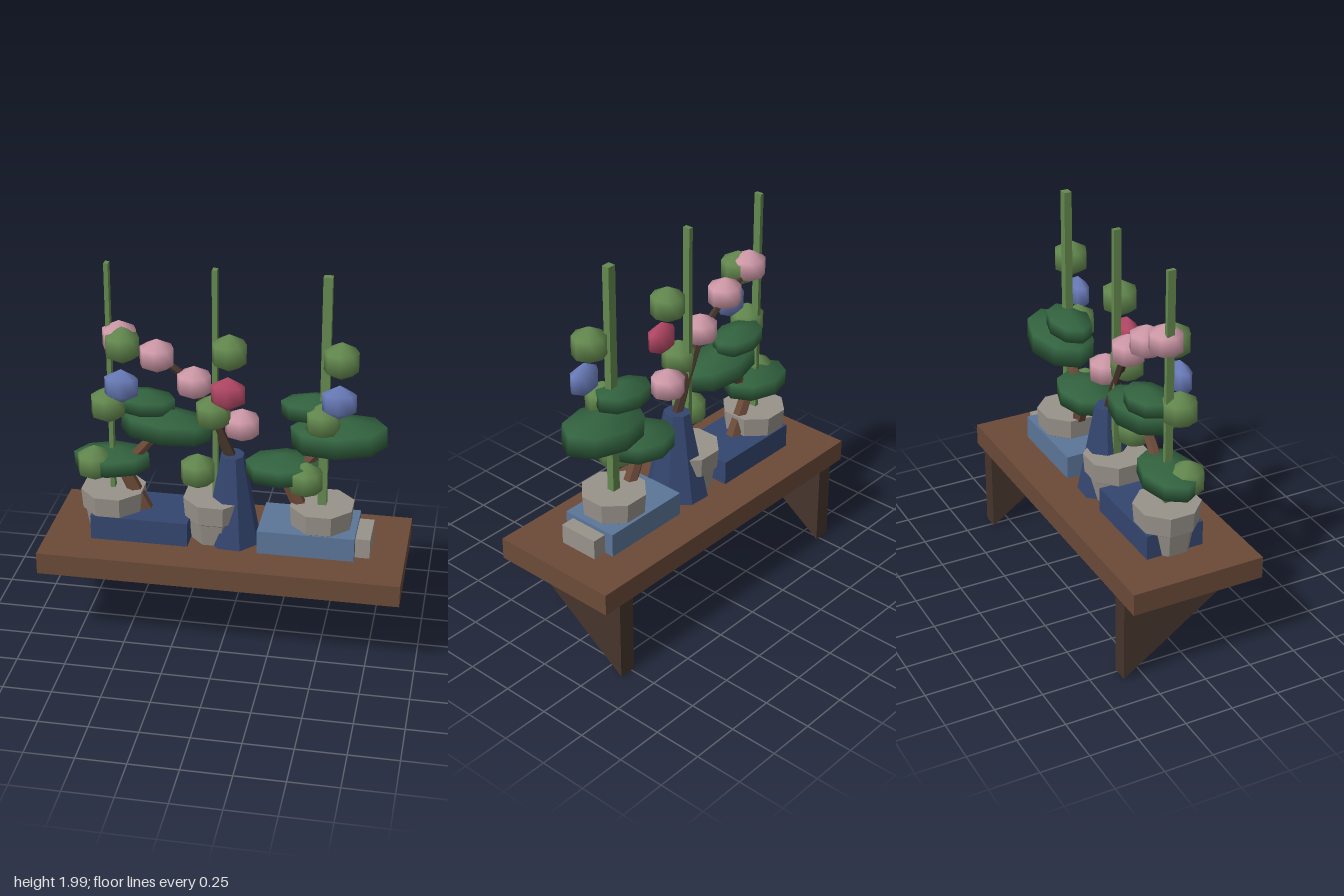
import * as THREE from 'three';

const mat = (name, color, flat = false) => {
  const m = new THREE.MeshStandardMaterial({ color, flatShading: flat });
  m.name = name;
  return m;
};

export function createModel() {
  const group = new THREE.Group();
  const wood = mat('brownWood', 0x6b4a38, true);
  const darkWood = mat('darkWood', 0x46352c, true);
  const leaf = mat('lightLeaf', 0x64894f);
  const foliage = mat('darkFoliage', 0x32623f);
  const pink = mat('pinkBlossom', 0xd09aa9);
  const rose = mat('roseBlossom', 0xb34866);
  const blue = mat('blueBlossom', 0x6a7cba);
  const stone = mat('greyStone', 0x98928a, true);
  const navy = mat('navyGlaze', 0x34466f, true);
  const paleBlue = mat('paleBlueGlaze', 0x5c7699, true);

  const add = (name, geo, material, x = 0, y = 0, z = 0) => {
    const mesh = new THREE.Mesh(geo, material);
    mesh.name = name;
    mesh.position.set(x, y, z);
    group.add(mesh);
    return mesh;
  };
  // Box given by its extents
  const box = (name, material, x0, x1, y0, y1, z0, z1) =>
    add(name, new THREE.BoxGeometry(x1 - x0, y1 - y0, z1 - z0), material,
      (x0 + x1) / 2, (y0 + y1) / 2, (z0 + z1) / 2);
  // Coarse rounded clump
  const clump = (name, material, x, y, z, rx, ry, rz, tilt = 0) => {
    const mesh = add(name, new THREE.SphereGeometry(1, 8, 3), material, x, y, z);
    mesh.scale.set(rx, ry, rz);
    mesh.rotation.z = tilt;
    return mesh;
  };
  // Tapered stick between two points
  const stick = (name, material, a, b, r0, r1) => {
    const from = new THREE.Vector3(...a), to = new THREE.Vector3(...b);
    const dir = to.clone().sub(from);
    const mesh = add(name, new THREE.CylinderGeometry(r1, r0, dir.length(), 6), material);
    mesh.position.copy(from).add(to).multiplyScalar(0.5);
    mesh.quaternion.setFromUnitVectors(new THREE.Vector3(0, 1, 0), dir.normalize());
  };
  const limb = (name, material, points, r0, r1) => {
    const n = points.length - 1;
    for (let i = 0; i < n; i++) {
      stick(name, material, points[i], points[i + 1],
        r0 + (r1 - r0) * i / n, r0 + (r1 - r0) * (i + 1) / n);
    }
  };

  // Shelf board
  box('shelfBoard', wood, -0.915, 0.915, 0.44, 0.555, -0.35, 0.35);

  // Triangular brackets
  const tri = new THREE.Shape([[0.35, 0.44], [0.35, 0.01], [-0.27, 0.44]]
    .map(p => new THREE.Vector2(...p)));
  for (const x of [-0.82, 0.73]) {
    const geo = new THREE.ExtrudeGeometry(tri, { depth: 0.09, bevelEnabled: false });
    geo.rotateY(Math.PI / 2);
    add('bracket', geo, darkWood, x, 0, 0);
  }

  // Climbing plants: pot, stake and three leaf clumps
  const plants = [
    { x: -0.59, w: 0.022, flower: blue },
    { x: -0.06, w: 0.025, flower: rose },
    { x: 0.483, w: 0.045, flower: blue },
  ];
  for (const { x, w, flower } of plants) {
    const profile = [[0, 0], [0.125, 0], [0.145, 0.12], [0.16, 0.13], [0.168, 0.235], [0, 0.235]]
      .map(p => new THREE.Vector2(...p));
    const pot = add('pot', new THREE.LatheGeometry(profile, 8), stone, x, 0.555, 0);
    pot.rotation.y = Math.PI / 8;
    box('stake', leaf, x - w / 2, x + w / 2, 0.78, 2, -0.02, 0.02);
    [0.945, 1.275, 1.6].forEach((y, i) =>
      clump('leafClump', leaf, x + (i - 1) * 0.08, y, 0.06, 0.098, 0.098, 0.098));
    clump('flower', flower, x + 0.08, 1.4, 0.1, 0.097, 0.09, 0.055);
  }

  // Trays and the small block
  box('leftTray', navy, -0.68, -0.18, 0.555, 0.685, -0.155, 0.15);
  box('rightTray', paleBlue, 0.175, 0.665, 0.555, 0.68, -0.16, 0.15);
  box('smallBlock', stone, 0.65, 0.74, 0.555, 0.66, -0.11, 0.105);

  // Miniature trees: bent trunk with foliage pads [x, y, z, half sizes, tilt]
  for (const s of [-0.425, 0.415]) {
    limb('trunk', wood, [[s, 0.67, 0], [s - 0.11, 0.9, 0], [s + 0.06, 1.1, 0]], 0.042, 0.025);
  }
  const pads = [
    [-0.31, 1.155, 0, 0.265, 0.095, 0.15, -0.08],
    [-0.42, 1.265, -0.02, 0.175, 0.068, 0.12, -0.05],
    [-0.595, 0.94, 0, 0.225, 0.078, 0.155, 0.05],
    [0.555, 1.165, -0.01, 0.275, 0.105, 0.18, 0.07],
    [0.425, 1.305, -0.02, 0.185, 0.073, 0.12, 0.06],
    [0.28, 0.97, 0, 0.215, 0.08, 0.165, 0.05],
  ];
  for (const p of pads) clump('foliagePad', foliage, ...p);

  // Tall tapered vase
  const vase = add('vase', new THREE.CylinderGeometry(0.06, 0.145, 0.47, 8), navy, 0.025, 0.79, -0.005);
  vase.rotation.y = Math.PI / 8;
  vase.scale.z = 1.15;

  // Blossom branch
  limb('blossomBranch', darkWood, [[0.03, 0.98, 0], [-0.05, 1.17, 0], [-0.165, 1.4, 0],
    [-0.35, 1.53, 0], [-0.54, 1.61, 0]], 0.03, 0.012);
  for (const [x, y] of [[-0.535, 1.62], [-0.35, 1.535], [-0.165, 1.405], [0.075, 1.195]]) {
    clump('blossom', pink, x, y, 0.01, 0.098, 0.09, 0.095);
  }

  return group;
}
